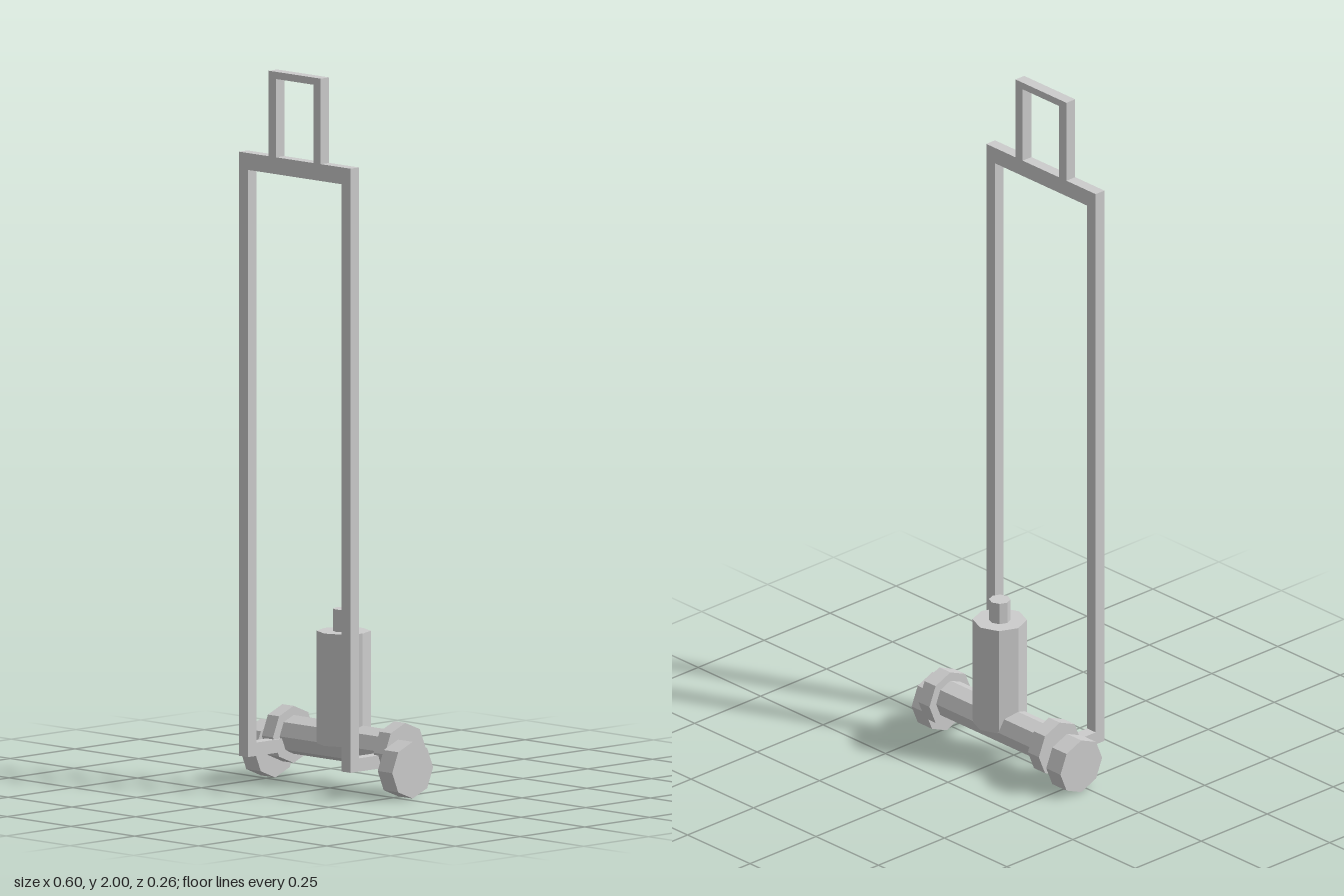
import * as THREE from 'three';

const material = new THREE.MeshStandardMaterial({ color: 0xcccccc, flatShading: true });

export function createModel() {
  const model = new THREE.Group();

  const add = (name, geometry, x, y, z) => {
    const mesh = new THREE.Mesh(geometry, material);
    mesh.name = name;
    mesh.position.set(x, y, z);
    model.add(mesh);
    return mesh;
  };
  // Octagonal prism, upright or lying along x
  const prism = (name, radius, length, x, y, z, lying = false) => {
    const mesh = add(name, new THREE.CylinderGeometry(radius, radius, length, 8), x, y, z);
    if (lying) mesh.rotation.z = Math.PI / 2;
  };
  // Box given by its limits on each axis
  const box = (name, x0, x1, y0, y1, z0, z1) =>
    add(name, new THREE.BoxGeometry(x1 - x0, y1 - y0, z1 - z0),
      (x0 + x1) / 2, (y0 + y1) / 2, (z0 + z1) / 2);

  // Cross tube with a flange and an offset wheel at each end
  prism('crossTube', 0.054, 0.42, 0, 0.123, -0.054, true);
  for (const [side, s] of [['left', 1], ['right', -1]]) {
    prism(side + 'Flange', 0.0795, 0.044, s * 0.219, 0.123, -0.054, true);
    prism(side + 'Wheel', 0.079, 0.057, s * 0.2695, 0.08, -0.0265, true);
  }

  // Upright cylinder with its stub
  prism('uprightCylinder', 0.0745, 0.313, 0, 0.2765, -0.0535);
  prism('topStub', 0.03, 0.08, 0, 0.455, -0.0535);

  // Tall frame, set slightly off centre
  const cx = -0.006, back = 0.097, front = 0.13;
  for (const [side, s] of [['left', 1], ['right', -1]]) {
    const span = (a, b) => [cx + s * a, cx + s * b].sort((p, q) => p - q);
    box(side + 'Post', ...span(0.184, 0.219), 0.08, 1.715, back, front);
    box(side + 'FootArm', ...span(0.184, 0.219), 0.08, 0.117, -0.03, back);
    box(side + 'HandlePost', ...span(0.073, 0.102), 1.762, 1.98, back, front);
  }
  box('crossBar', cx - 0.219, cx + 0.219, 1.715, 1.762, back, front);
  box('handleGrip', cx - 0.102, cx + 0.102, 1.98, 2, back, front);

  return model;
}
